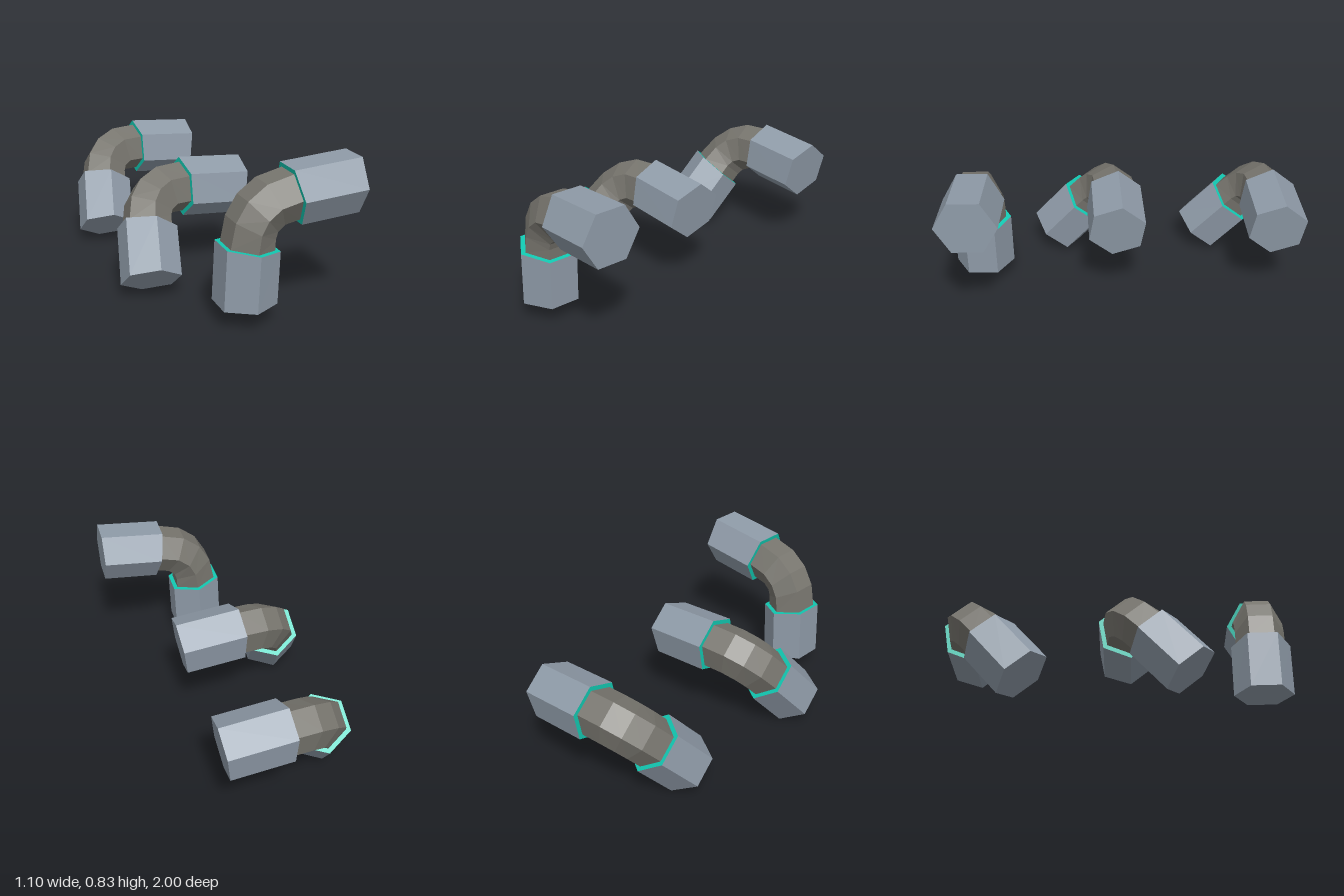
import * as THREE from 'three';

const material = (name, color) => {
  const m = new THREE.MeshStandardMaterial({ color });
  m.name = name;
  return m;
};

const CAP = 0.168, PIPE = 0.14;

// Centre line of one elbow: x, y and the tilt of the cross-section in degrees
const bottom = [0, 0, 0];
const lowerJoint = [0.011, 0.303, 8.3];
const bend = [lowerJoint, [0.025, 0.4, 27], [0.062, 0.471, 47], [0.13, 0.525, 65], [0.242, 0.552, 80]];
const upperJoint = bend[4];
const end = [0.59, 0.58, 90];

// Hexagonal cross-section with corners towards +z and -z
function hexagon([x, y, tilt], radius) {
  const t = THREE.MathUtils.degToRad(tilt);
  return Array.from({ length: 6 }, (_, k) => {
    const a = k * Math.PI / 3, s = radius * Math.sin(a);
    return new THREE.Vector3(x + s * Math.cos(t), y - s * Math.sin(t), radius * Math.cos(a));
  });
}

// Flat-sided skin over a series of [station, radius]; radius 0 closes an end
function loft(sections) {
  const rings = sections.map(([station, radius]) => hexagon(station, radius));
  const points = [];
  for (let i = 0; i < rings.length - 1; i++) {
    const p = rings[i], q = rings[i + 1];
    for (let k = 0; k < 6; k++) {
      const n = (k + 1) % 6;
      if (sections[i][1] > 0) points.push(p[k], p[n], q[n]);
      if (sections[i + 1][1] > 0) points.push(p[k], q[n], q[k]);
    }
  }
  const geometry = new THREE.BufferGeometry().setFromPoints(points);
  geometry.computeVertexNormals();
  return geometry;
}

export function createModel() {
  const steel = material('blue grey sleeve', 0x8f9ba8);
  const pipe = material('warm grey pipe', 0x77756e);
  const teal = material('teal rim', 0x12c9b2);

  const parts = [
    ['lowerSleeve', steel, loft([[bottom, 0], [bottom, CAP], [lowerJoint, CAP]])],
    ['lowerRim', teal, loft([[lowerJoint, CAP], [lowerJoint, PIPE]])],
    ['bentPipe', pipe, loft(bend.map((station) => [station, PIPE]))],
    ['upperRim', teal, loft([[upperJoint, PIPE], [upperJoint, CAP]])],
    ['upperSleeve', steel, loft([[upperJoint, CAP], [end, CAP], [end, 0]])],
  ];

  const elbow = (name, position, tiltX, tiltZ) => {
    const group = new THREE.Group();
    group.name = name;
    for (const [partName, mat, geometry] of parts) {
      const mesh = new THREE.Mesh(geometry, mat);
      mesh.name = partName;
      group.add(mesh);
    }
    group.position.set(...position);
    group.rotation.set(THREE.MathUtils.degToRad(tiltX), 0, THREE.MathUtils.degToRad(tiltZ), 'ZYX');
    return group;
  };

  // One upright elbow in front, two leaning ones behind
  const model = new THREE.Group();
  model.name = 'pipeElbows';
  model.add(
    elbow('frontElbow', [-0.037, 0.108, 0.832], 0, 0),
    elbow('middleElbow', [-0.4, 0.11, 0.421], -40, -8),
    elbow('rearElbow', [-0.4, 0.11, -0.474], -40, -8),
  );
  return model;
}
